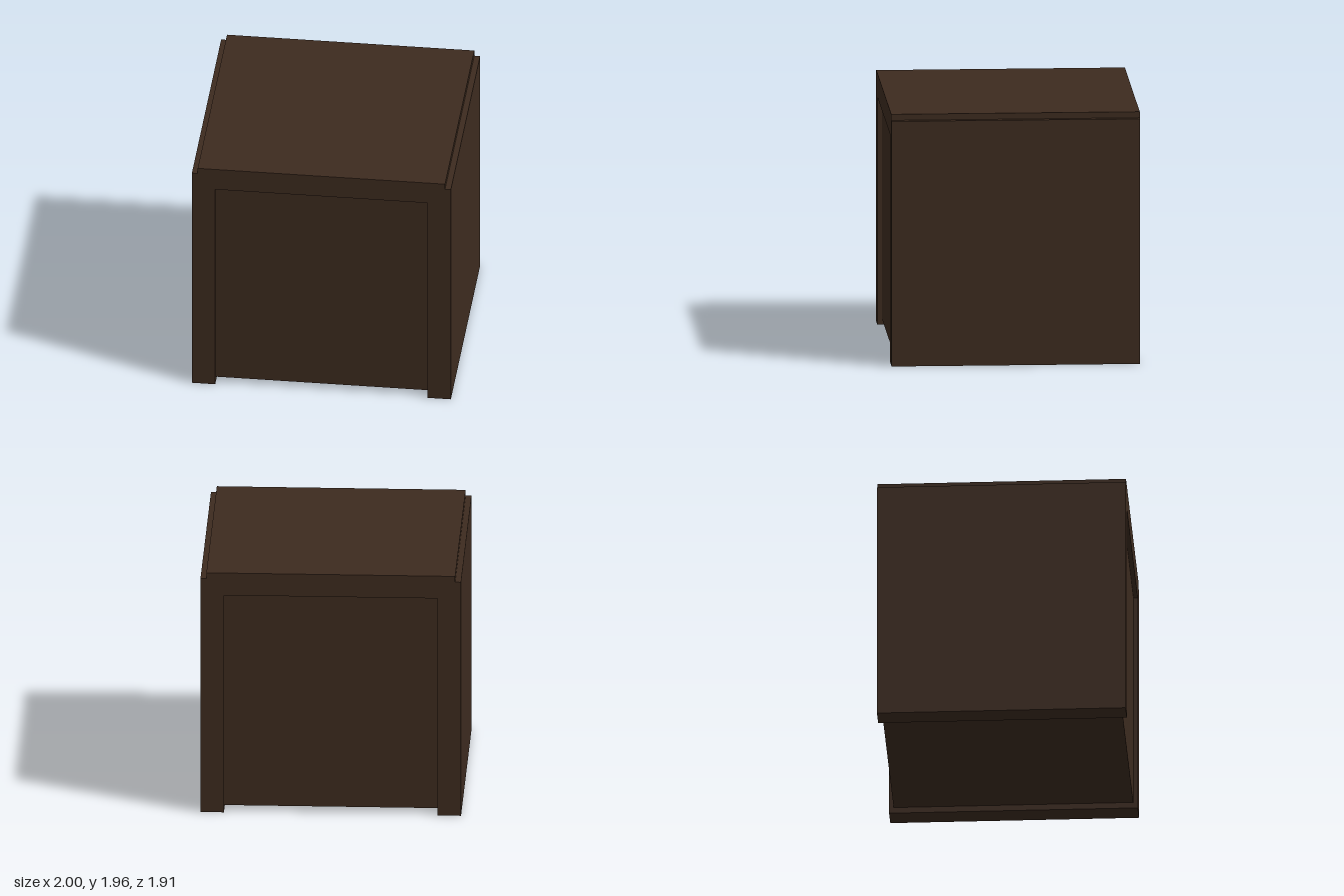
import * as THREE from 'three';

export function createModel() {
  const group = new THREE.Group();
  const wood = new THREE.MeshStandardMaterial({ color: 0x3d2b1f });
  wood.name = 'darkWood';

  const depth = 1.91, recess = 0.035;
  const innerX = 0.82, innerTop = 1.775, floorY = 0.047;

  // Casing: two side walls joined by a slightly raised, narrower top
  const half = [[innerX, innerTop], [innerX, 0], [1, 0], [1, 1.91], [0.955, 1.91], [0.955, 1.957]];
  const mirrored = half.map(([x, y]) => [-x, y]).reverse();
  const outline = new THREE.Shape([...half, ...mirrored].map(([x, y]) => new THREE.Vector2(x, y)));
  const casingGeometry = new THREE.ExtrudeGeometry(outline, { depth, bevelEnabled: false });
  casingGeometry.translate(0, 0, -depth / 2);
  const casing = new THREE.Mesh(casingGeometry, wood);
  casing.name = 'casing';
  group.add(casing);

  // Solid core, recessed at front and back and raised off the ground
  const core = new THREE.Mesh(
    new THREE.BoxGeometry(innerX * 2, innerTop - floorY, depth - recess * 2), wood);
  core.position.y = (innerTop + floorY) / 2;
  core.name = 'recessedBody';
  group.add(core);

  return group;
}
